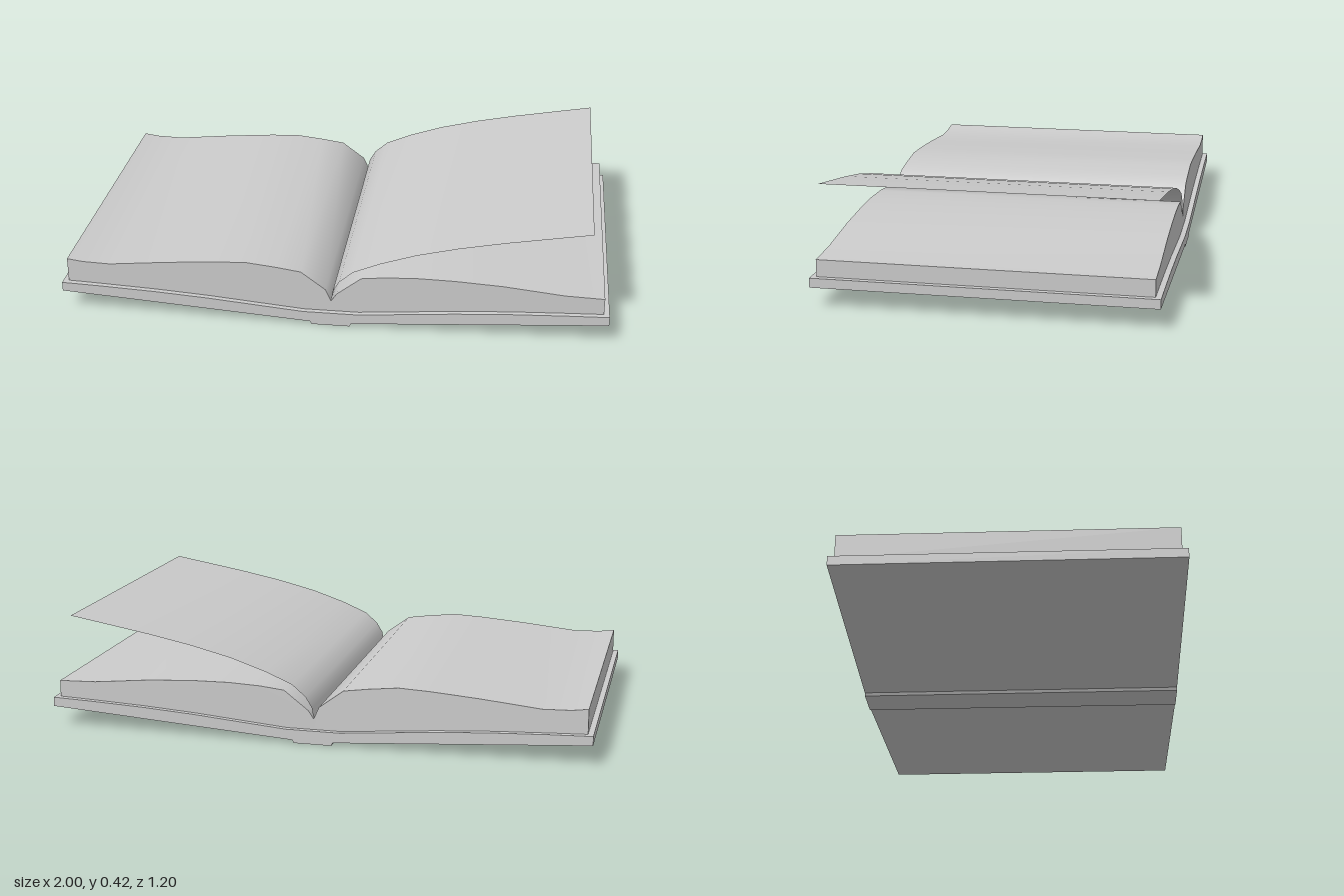
import * as THREE from 'three';
import { toCreasedNormals } from 'three/addons/utils/BufferGeometryUtils.js';

const grey = new THREE.MeshStandardMaterial({ color: 0xcccccc });
const sheetGrey = new THREE.MeshStandardMaterial({ color: 0xcccccc, side: THREE.DoubleSide });

// Extrudes an x/y profile symmetrically along z, smoothing gentle bends
function profileMesh(name, points, depth) {
  const shape = new THREE.Shape(points.map(([x, y]) => new THREE.Vector2(x, y)));
  const geometry = new THREE.ExtrudeGeometry(shape, { depth, bevelEnabled: false });
  geometry.translate(0, 0, -depth / 2);
  const mesh = new THREE.Mesh(toCreasedNormals(geometry, 0.75), grey);
  mesh.name = name;
  return mesh;
}

const mirrorX = (points) => points.map(([x, y]) => [-x, y]);

export function createModel() {
  const book = new THREE.Group();
  book.name = 'openBook';
  const coverDepth = 1.2, pageDepth = 1.16;

  // Upper face of the open cover, from the gutter outwards
  const coverTop = [[0.1, 0.05], [0.3, 0.067], [0.45, 0.08], [0.65, 0.093], [0.85, 0.102], [1, 0.107]];

  // Hard cover with raised spine strip underneath
  book.add(profileMesh('cover', [
    [-0.07, 0], [0.07, 0], [0.075, 0.011], [1, 0.073],
    ...coverTop.slice().reverse(), ...mirrorX(coverTop), [-1, 0.073], [-0.075, 0.011],
  ], coverDepth));

  // Page stacks on each side, meeting in the gutter
  const stackBase = [...coverTop.slice(0, -1), [0.98, 0.107]];
  const leftTop = [[0, 0.09], [0.02, 0.12], [0.11, 0.19], [0.2, 0.2], [0.32, 0.205],
    [0.45, 0.203], [0.62, 0.194], [0.84, 0.172], [0.98, 0.168]];
  const rightTop = [[0, 0.09], [-0.02, 0.135], [-0.11, 0.202], [-0.2, 0.215], [-0.31, 0.227],
    [-0.42, 0.222], [-0.6, 0.208], [-0.82, 0.186], [-0.92, 0.189], [-0.98, 0.197]];
  book.add(profileMesh('leftPages', [[0, 0.05], ...stackBase, ...leftTop.slice().reverse()], pageDepth));
  book.add(profileMesh('rightPages', [[0, 0.05], ...rightTop, ...mirrorX(stackBase).reverse()], pageDepth));

  // Single page lifted above the left stack
  const curve = [[0, 0.09], [0.006, 0.13], [0.03, 0.17], [0.08, 0.213], [0.18, 0.255],
    [0.31, 0.298], [0.46, 0.335], [0.62, 0.367], [0.78, 0.395], [0.925, 0.42]];
  const sheet = new THREE.PlaneGeometry(1, 1, curve.length - 1, 1);
  const pos = sheet.attributes.position;
  for (let i = 0; i < pos.count; i++) {
    const [x, y] = curve[i % curve.length];
    pos.setXYZ(i, x, y, (i < curve.length ? -1 : 1) * pageDepth / 2);
  }
  sheet.computeVertexNormals();
  const page = new THREE.Mesh(sheet, sheetGrey);
  page.name = 'turningPage';
  book.add(page);

  return book;
}
